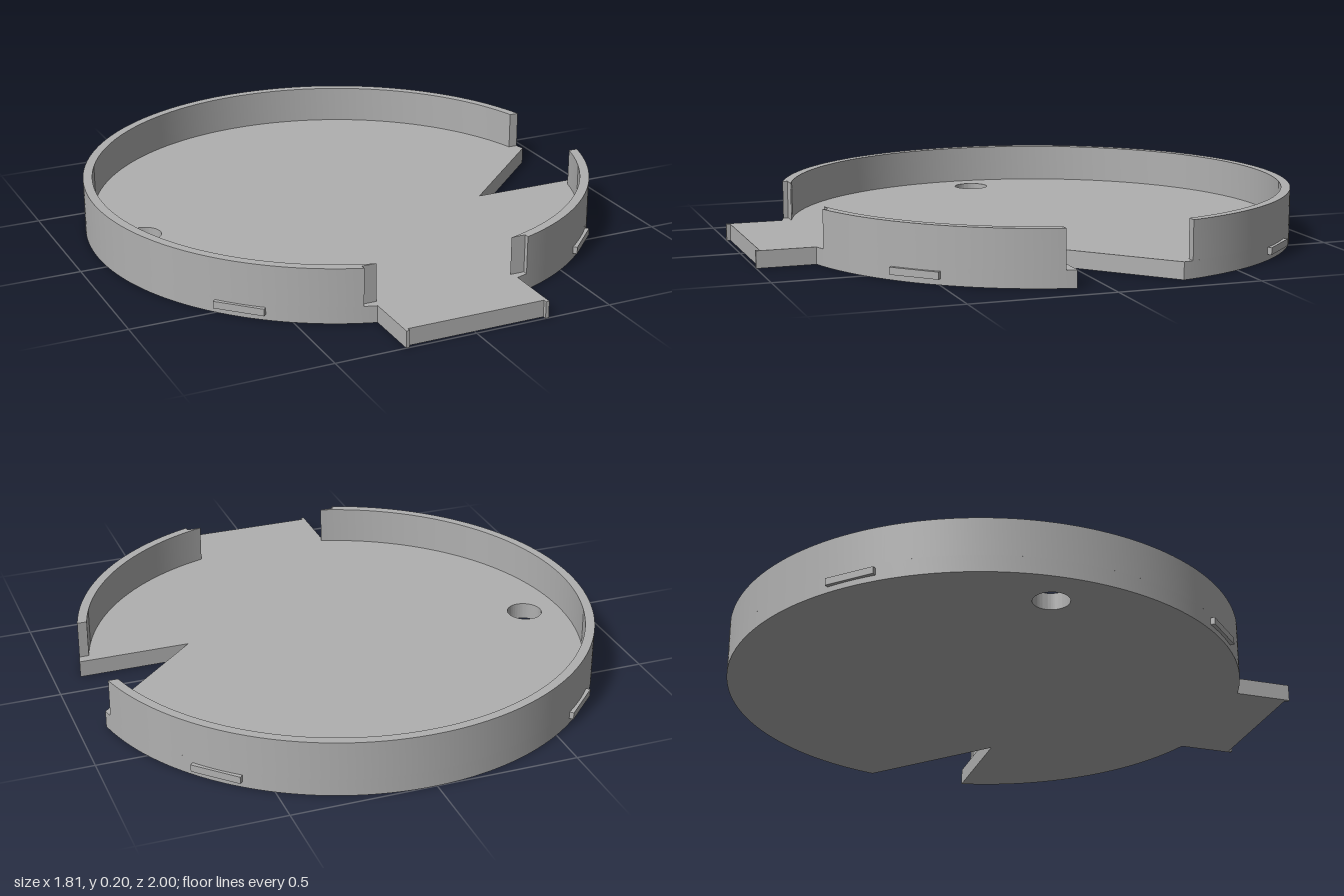
import * as THREE from 'three';
import { toCreasedNormals } from 'three/addons/utils/BufferGeometryUtils.js';

const R = 0.916, INNER = 0.883;        // outer and inner wall radius
const FLOOR = 0.06, HEIGHT = 0.195;    // floor thickness and total height
const SLOT = 0.185, SLOT_X = 0.498;    // half width and depth of the side slot
const TAB = 0.26, TAB_END = 1.07;      // half width and reach of the front tab

// Extrudes a plan outline (plan y points to the back) upwards from y0 to y1.
function slab(shape, y0, y1) {
  const g = new THREE.ExtrudeGeometry(shape, { depth: y1 - y0, bevelEnabled: false, curveSegments: 96 });
  g.rotateX(-Math.PI / 2).translate(0, y0, 0);
  return toCreasedNormals(g, 0.5);
}

function floorShape() {
  const a = Math.asin(SLOT / R), t = Math.acos(TAB / R), s = new THREE.Shape();
  s.moveTo(SLOT_X, SLOT);
  s.absarc(0, 0, R, a, Math.PI + t, false);
  // front tab with a tiny lip at each corner
  s.lineTo(-TAB, -1.084);
  s.lineTo(-TAB + 0.012, -1.084);
  s.lineTo(-TAB + 0.012, -TAB_END);
  s.lineTo(TAB - 0.012, -TAB_END);
  s.lineTo(TAB - 0.012, -1.084);
  s.lineTo(TAB, -1.084);
  s.absarc(0, 0, R, -t, -a, false);
  s.lineTo(SLOT_X, -SLOT);
  s.closePath();
  // round hole
  const hole = new THREE.Path();
  hole.absarc(-0.7475, 0, 0.063, 0, Math.PI * 2, true);
  s.holes.push(hole);
  return s;
}

// Wall from the side slot round to the notch at the front tab.
function wallShape(long) {
  const gap = 0.22, notchX = 0.302, notchY = 0.847;
  const dir = long ? 1 : -1;
  const startOut = dir * Math.asin(gap / R), startIn = dir * Math.asin(gap / INNER);
  const tOut = Math.acos(notchX / R), tIn = Math.asin(notchY / INNER);
  const endOut = long ? Math.PI + tOut : -tOut;
  const endIn = long ? Math.PI + tIn : -tIn;
  const s = new THREE.Shape();
  s.absarc(0, 0, R, startOut, endOut, !long);
  s.lineTo(-dir * notchX, -notchY);
  s.absarc(0, 0, INNER, endIn, startIn, long);
  s.closePath();
  return s;
}

export function createModel() {
  const grey = new THREE.MeshStandardMaterial({ color: 0xb0b0b0 });
  grey.name = 'plain grey';
  const group = new THREE.Group();
  group.name = 'roundTray';
  const add = (name, geometry) => {
    const mesh = new THREE.Mesh(geometry, grey);
    mesh.name = name;
    group.add(mesh);
    return mesh;
  };

  add('floor', slab(floorShape(), 0, FLOOR));
  add('longWall', slab(wallShape(true), FLOOR, HEIGHT));
  add('shortWall', slab(wallShape(false), FLOOR, HEIGHT));

  // four snap ridges on the diagonals
  for (let i = 0; i < 4; i++) {
    const angle = Math.PI / 4 + i * Math.PI / 2;
    const ridge = add('snapRidge', new THREE.BoxGeometry(0.18, 0.025, 0.03));
    ridge.position.set(Math.sin(angle) * 0.912, 0.033, Math.cos(angle) * 0.912);
    ridge.rotation.y = angle;
  }

  group.position.set(0.0075, 0, -0.084);
  const root = new THREE.Group();
  root.name = 'tray';
  root.add(group);
  return root;
}
